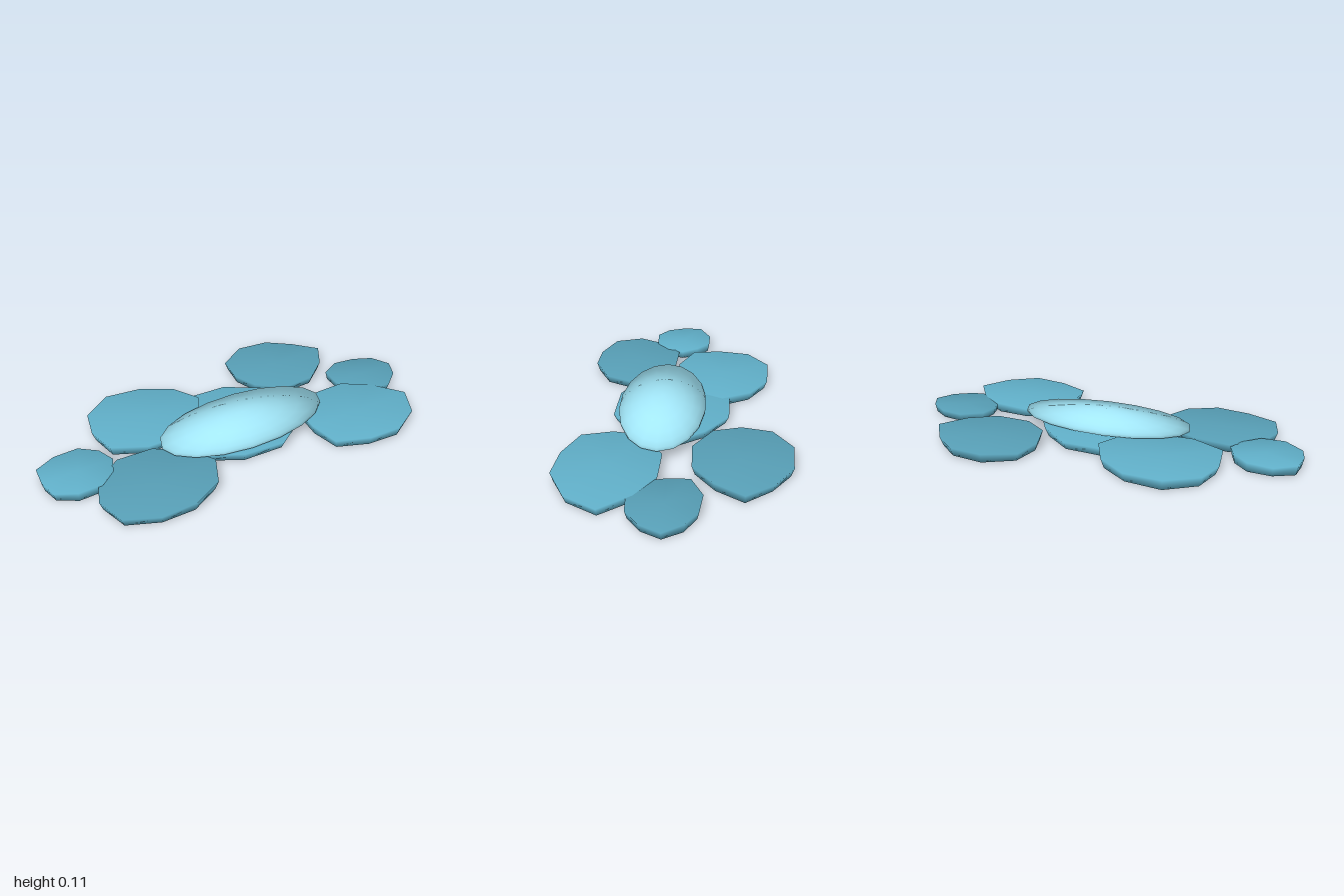
import * as THREE from 'three';
import { mergeVertices } from 'three/addons/utils/BufferGeometryUtils.js';

const SIDES = 10;

// Low ten-sided pad: an uneven oval, slightly narrower at the ground, with a gently uneven top.
// corners holds the radius factor of each corner, counted from +x towards the back.
function makePad({ name, x, z, r, top, color, corners }, index) {
  const cylinder = new THREE.CylinderGeometry(1, 0.94, 1, SIDES, 1, false, Math.PI / 2);
  const pos = cylinder.attributes.position;
  for (let i = 0; i < pos.count; i++) {
    const px = pos.getX(i), pz = pos.getZ(i), isTop = pos.getY(i) > 0;
    const step = Math.round(Math.atan2(-pz, px) / (2 * Math.PI / SIDES));
    const k = (step + SIDES) % SIDES;
    const isCorner = Math.hypot(px, pz) > 0.5;
    const bump = isCorner ? 0.004 * Math.sin(k * 2.1 + index) : 0;
    pos.setXYZ(i, px * r * corners[k], isTop ? top + bump : 0, pz * r * 0.85 * corners[k]);
  }
  // Caps and wall share their corners, so the shading rolls softly over the rim.
  cylinder.deleteAttribute('uv');
  cylinder.deleteAttribute('normal');
  const geometry = mergeVertices(cylinder, 1e-5);
  geometry.computeVertexNormals();
  const pad = new THREE.Mesh(geometry, new THREE.MeshStandardMaterial({ color }));
  pad.name = name;
  pad.position.set(x, 0, z);
  return pad;
}

// Shallow oval cone with a thin upright rim; it keeps the round normals of the sphere for soft shading.
function makeDome() {
  const geometry = new THREE.SphereGeometry(1, 18, 12);
  const pos = geometry.attributes.position;
  for (let i = 0; i < pos.count; i++) {
    const px = pos.getX(i), py = pos.getY(i), pz = pos.getZ(i);
    const r = Math.hypot(px, pz);
    const isBelow = py < -0.01;
    const y = isBelow ? 0.055 : 0.065 + 0.043 * (1 - r);
    const spread = isBelow ? Math.min(1, 1.03 * r) / Math.max(r, 0.001) : 1;
    pos.setXYZ(i, px * spread * 0.444, y, pz * spread * 0.215);
  }
  const dome = new THREE.Mesh(geometry, new THREE.MeshStandardMaterial({ color: 0xa3e8fa }));
  dome.name = 'dome';
  dome.position.set(0.003, 0, 0.087);
  return dome;
}

export function createModel() {
  const model = new THREE.Group();
  model.name = 'padCluster';
  const light = 0x5fadc6, dark = 0x569db4;

  const pads = [
    { name: 'centrePad', x: -0.02, z: 0.035, r: 0.35, top: 0.043, color: light,
      corners: [1.05, 0.93, 0.98, 1, 0.95, 1.1, 1, 0.98, 1.02, 1] },
    { name: 'backRightPad', x: -0.39, z: -0.21, r: 0.29, top: 0.048, color: light,
      corners: [1.06, 1, 1.02, 1.08, 1.03, 0.96, 1.08, 1.01, 1, 1] },
    { name: 'backLeftPad', x: 0.455, z: -0.3, r: 0.28, top: 0.043, color: dark,
      corners: [1.07, 0.91, 0.97, 1.03, 1.04, 0.94, 0.97, 1.02, 1, 0.94] },
    { name: 'frontRightPad', x: -0.56, z: 0.268, r: 0.28, top: 0.043, color: dark,
      corners: [1.08, 0.98, 0.98, 1.03, 0.97, 0.98, 1.04, 0.95, 0.97, 1.03] },
    { name: 'frontLeftPad', x: 0.54, z: 0.3, r: 0.29, top: 0.047, color: light,
      corners: [1.13, 0.96, 0.99, 1.02, 1.06, 0.93, 1.04, 0.93, 0.99, 1.03] },
    { name: 'smallRightPad', x: -0.83, z: 0.018, r: 0.176, top: 0.046, color: light,
      corners: [0.97, 0.96, 1.08, 1.1, 1.13, 0.97, 1.05, 1.07, 1.05, 0.95] },
    { name: 'smallLeftPad', x: 0.803, z: 0.03, r: 0.182, top: 0.04, color: dark,
      corners: [1.07, 0.98, 0.98, 1.08, 1.14, 0.97, 1.03, 1.1, 1.06, 1] },
  ];
  pads.forEach((pad, i) => model.add(makePad(pad, i)));
  model.add(makeDome());
  return model;
}
